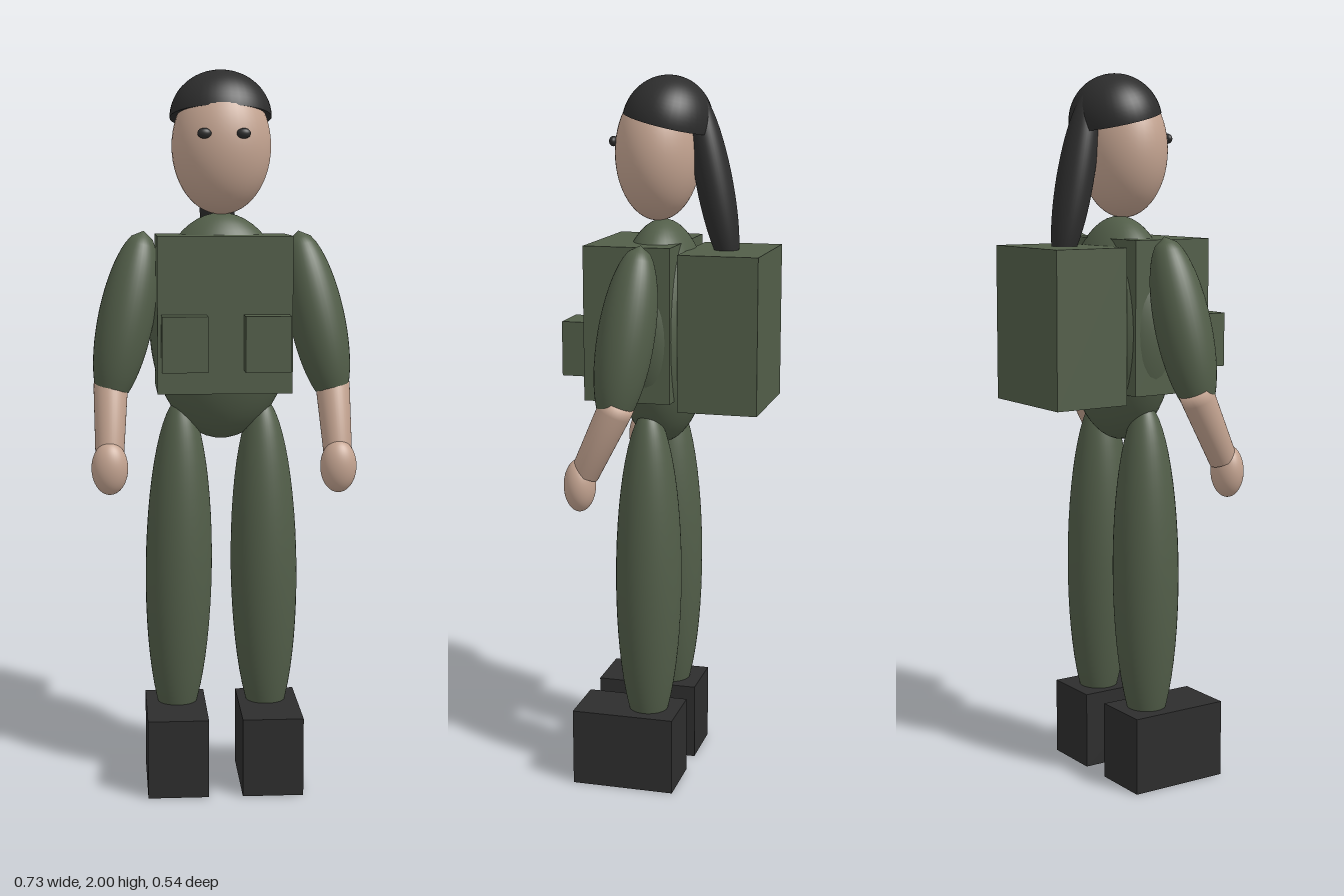
import * as THREE from 'three';

const mat = (name, color) => {
  const m = new THREE.MeshStandardMaterial({ color });
  m.name = name;
  return m;
};

export function createModel() {
  const root = new THREE.Group();
  root.name = 'figure';
  const green = mat('olive green', 0x525e49);
  const skin = mat('skin', 0xc4a491);
  const dark = mat('charcoal', 0x2d2d2d);

  const add = (name, geo, material, parent = root) => {
    const mesh = new THREE.Mesh(geo, material);
    mesh.name = name;
    parent.add(mesh);
    return mesh;
  };
  // Smooth ellipsoid from centre and radii
  const ellipsoid = (name, c, r, material) => {
    const mesh = add(name, new THREE.SphereGeometry(1, 40, 28).scale(...r), material);
    mesh.position.set(...c);
    return mesh;
  };
  // Box given by its minimum and maximum corners
  const box = (name, a, b, material) => {
    const mesh = add(name, new THREE.BoxGeometry(b[0] - a[0], b[1] - a[1], b[2] - a[2]), material);
    mesh.position.set((a[0] + b[0]) / 2, (a[1] + b[1]) / 2, (a[2] + b[2]) / 2);
    return mesh;
  };
  // Round limb along start -> end; profile is a list of [radius, distance]
  const limb = (name, start, end, profile, material) => {
    const s = new THREE.Vector3(...start);
    const dir = new THREE.Vector3(...end).sub(s).normalize();
    // reversed so that the lathe runs from low to high and faces outwards
    const pts = profile.map(([r, d]) => new THREE.Vector2(r, -d)).reverse();
    const mesh = add(name, new THREE.LatheGeometry(pts, 36), material);
    mesh.position.copy(s);
    mesh.quaternion.setFromUnitVectors(new THREE.Vector3(0, -1, 0), dir);
    return mesh;
  };

  // Head and hair
  ellipsoid('head', [0, 1.79, 0.045], [0.137, 0.185, 0.117], skin);
  const hairPoints = new THREE.SphereGeometry(1, 40, 16, 0, Math.PI * 2, 0, Math.PI / 2);
  const cap = add('hairCap', hairPoints.scale(0.141, 0.13, 0.124), dark);
  cap.position.set(0, 1.869, 0.018);
  cap.rotation.x = -0.24;
  const capBase = add('hairCapBase', new THREE.CircleGeometry(1, 40).rotateX(Math.PI / 2).scale(0.141, 1, 0.124), dark);
  capBase.position.copy(cap.position);
  capBase.rotation.copy(cap.rotation);
  const tail = ellipsoid('ponytail', [0, 1.71, -0.114], [0.055, 0.25, 0.05], dark);
  tail.rotation.x = 0.2;

  // Torso, vest and backpack
  ellipsoid('torso', [0, 1.295, 0.032], [0.2, 0.315, 0.135], green);
  box('vest', [-0.183, 1.125, -0.036], [0.183, 1.55, 0.207], green);
  box('backpack', [-0.161, 1.1, -0.272], [0.161, 1.53, -0.05], green);

  // Sleeve profile: a long ellipsoid cut off near the elbow
  const sleeve = [];
  for (let i = 0; i <= 22; i++) {
    const t = -1 + (1.79 * i) / 22;
    sleeve.push([0.077 * Math.sqrt(Math.max(0, 1 - t * t)), 0.25 * (1 + t)]);
  }
  sleeve.push([sleeve[22][0], sleeve[22][1]], [0, sleeve[22][1]]);

  for (const [side, k] of [['left', 1], ['right', -1]]) {
    const span = (name, x0, x1, y0, y1, z0, z1, m) =>
      box(name, [k > 0 ? x0 : -x1, y0, z0], [k > 0 ? x1 : -x0, y1, z1], m);

    ellipsoid(side + 'Eye', [k * 0.053, 1.822, 0.156], [0.019, 0.014, 0.012], dark);
    span(side + 'Pocket', 0.05, 0.173, 1.19, 1.34, 0.2, 0.272, green);

    // Arm
    limb(side + 'Sleeve', [k * 0.215, 1.56, 0.035], [k * 0.308, 1.12, 0.085], sleeve, green);
    limb(side + 'Forearm', [k * 0.309, 1.15, 0.072], [k * 0.314, 0.95, 0.167],
      [[0, 0], [0.047, 0], [0.047, 0.03], [0.039, 0.22], [0, 0.22]], skin);
    ellipsoid(side + 'Hand', [k * 0.314, 0.92, 0.18], [0.05, 0.073, 0.043], skin);

    // Leg and boot
    const leg = ellipsoid(side + 'Leg', [k * 0.121, 0.61, 0.042], [0.094, 0.485, 0.093], green);
    leg.rotation.z = k * 0.015;
    span(side + 'Boot', 0.047, 0.216, 0, 0.22, -0.05, 0.243, dark);
  }
  return root;
}
